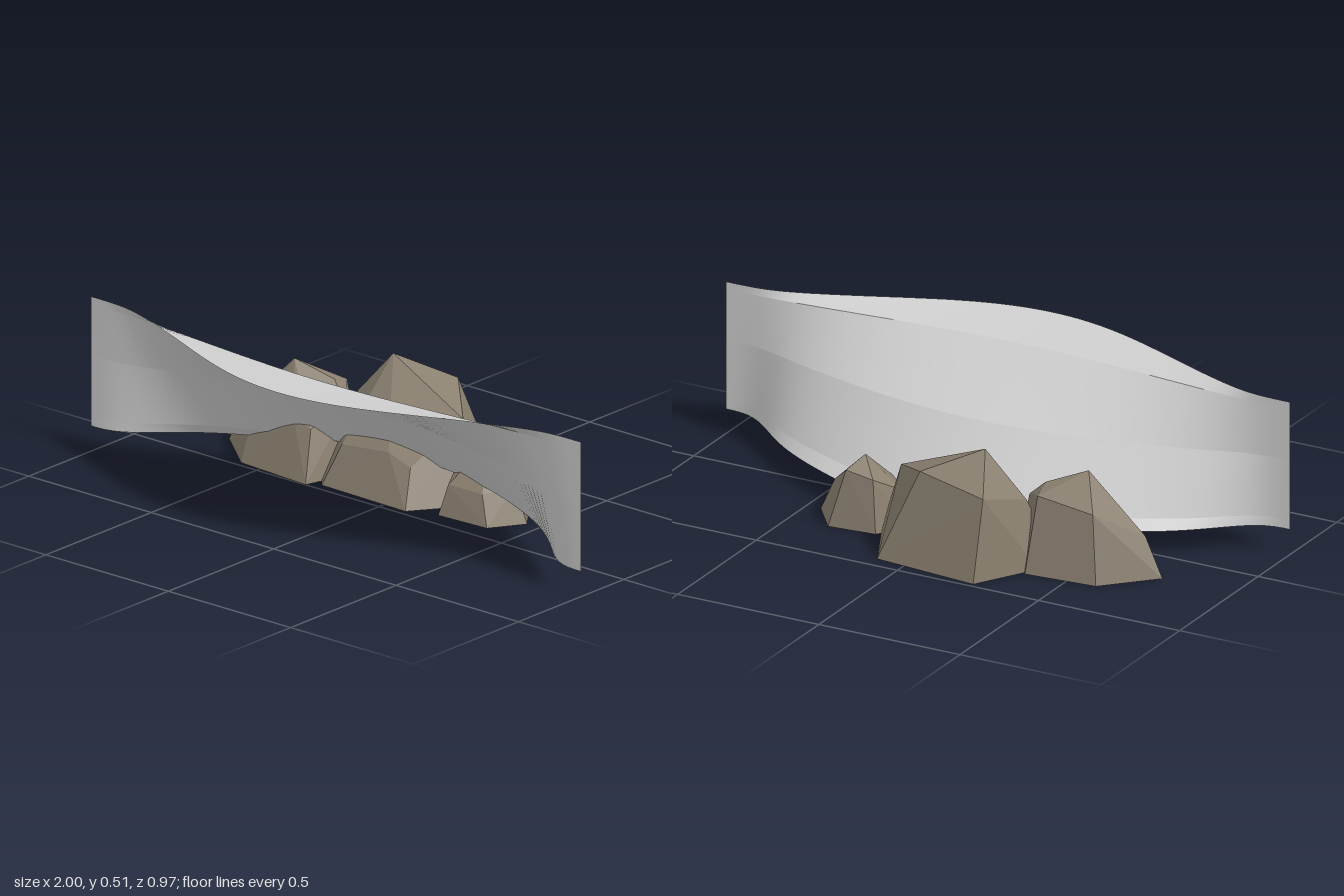
import * as THREE from 'three';
import { ConvexGeometry } from 'three/addons/geometries/ConvexGeometry.js';

const sheetGrey = new THREE.MeshStandardMaterial({ color: 0xcfcfcf, side: THREE.DoubleSide });
sheetGrey.name = 'sheetGrey';
const rockBrown = new THREE.MeshStandardMaterial({ color: 0x8a8070, flatShading: true, side: THREE.DoubleSide });
rockBrown.name = 'rockBrown';

// Curved sheet: upright at both ends, leaning forward at the top in the middle.
// Each row: height, bulge at the middle, power of the cosine falloff along x.
const rows = [
  [0.083, -0.425, 1.05], [0.115, -0.365, 1.05], [0.315, -0.185, 1.3], [0.485, 0.06, 2], [0.51, 0.277, 2],
];

function rowPoint([y, bulge, power], x) {
  const c = Math.max(0, Math.cos((x * Math.PI) / 2));
  const tipEase = 1 - Math.pow(Math.abs(Math.sin((x * Math.PI) / 2)), 28);
  return [x, y, 0.204 + bulge * Math.pow(c, power) * tipEase];
}

// Bands do not share vertices, so the creases between them stay sharp
function sheetGeometry() {
  const n = 72, pos = [], idx = [];
  for (let r = 0; r < rows.length - 1; r++) {
    for (let i = 0; i <= n; i++) {
      const x = -1 + (2 * i) / n;
      const a = pos.length / 3;
      pos.push(...rowPoint(rows[r], x), ...rowPoint(rows[r + 1], x));
      if (i < n) idx.push(a, a + 1, a + 2, a + 2, a + 1, a + 3);
    }
  }
  const g = new THREE.BufferGeometry();
  g.setAttribute('position', new THREE.Float32BufferAttribute(pos, 3));
  g.setIndex(idx);
  g.computeVertexNormals();
  return g;
}

// Faceted rock, open underneath: hull of a base outline (x, z) and upper corners (x, y, z)
function rock(name, base, upper) {
  const hull = new ConvexGeometry([
    ...base.map(([x, z]) => new THREE.Vector3(x, 0, z)),
    ...upper.map((p) => new THREE.Vector3(...p)),
  ]).getAttribute('position').array;
  const pos = [];
  for (let i = 0; i < hull.length; i += 9) {
    const onGround = Math.max(hull[i + 1], hull[i + 4], hull[i + 7]) < 0.001;
    if (!onGround) pos.push(...hull.slice(i, i + 9));
  }
  const g = new THREE.BufferGeometry();
  g.setAttribute('position', new THREE.Float32BufferAttribute(pos, 3));
  g.computeVertexNormals();
  const mesh = new THREE.Mesh(g, rockBrown);
  mesh.name = name;
  return mesh;
}

export function createModel() {
  const group = new THREE.Group();
  group.name = 'curvedSheetOnRocks';

  const sheet = new THREE.Mesh(sheetGeometry(), sheetGrey);
  sheet.name = 'curvedSheet';
  group.add(sheet);

  group.add(rock('middleRock',
    [[-0.26, -0.03], [0.09, -0.02], [0.22, -0.2], [0.1, -0.45], [-0.26, -0.485], [-0.38, -0.28], [-0.34, -0.12]],
    [[-0.22, 0.13, -0.08], [-0.03, 0.15, -0.08], [0.06, 0.12, -0.08], [0.12, 0.245, -0.26],
      [-0.03, 0.305, -0.41], [-0.27, 0.27, -0.44], [-0.33, 0.22, -0.27], [-0.2, 0.375, -0.3]]));

  group.add(rock('rightRock',
    [[-0.75, -0.16], [-0.58, -0.02], [-0.3, 0], [-0.25, -0.18], [-0.36, -0.335], [-0.6, -0.315]],
    [[-0.69, 0.13, -0.16], [-0.58, 0.13, -0.07], [-0.4, 0.18, -0.06], [-0.33, 0.16, -0.06], [-0.29, 0.2, -0.18],
      [-0.38, 0.25, -0.29], [-0.57, 0.22, -0.28], [-0.5, 0.32, -0.18], [-0.37, 0.27, -0.22]]));

  group.add(rock('leftRock',
    [[0.19, -0.06], [0.38, -0.07], [0.45, -0.18], [0.36, -0.295], [0.2, -0.28], [0.13, -0.18]],
    [[0.21, 0.1, -0.085], [0.34, 0.095, -0.095], [0.4, 0.11, -0.18], [0.31, 0.19, -0.27],
      [0.22, 0.17, -0.26], [0.16, 0.12, -0.18], [0.28, 0.225, -0.2]]));

  return group;
}
